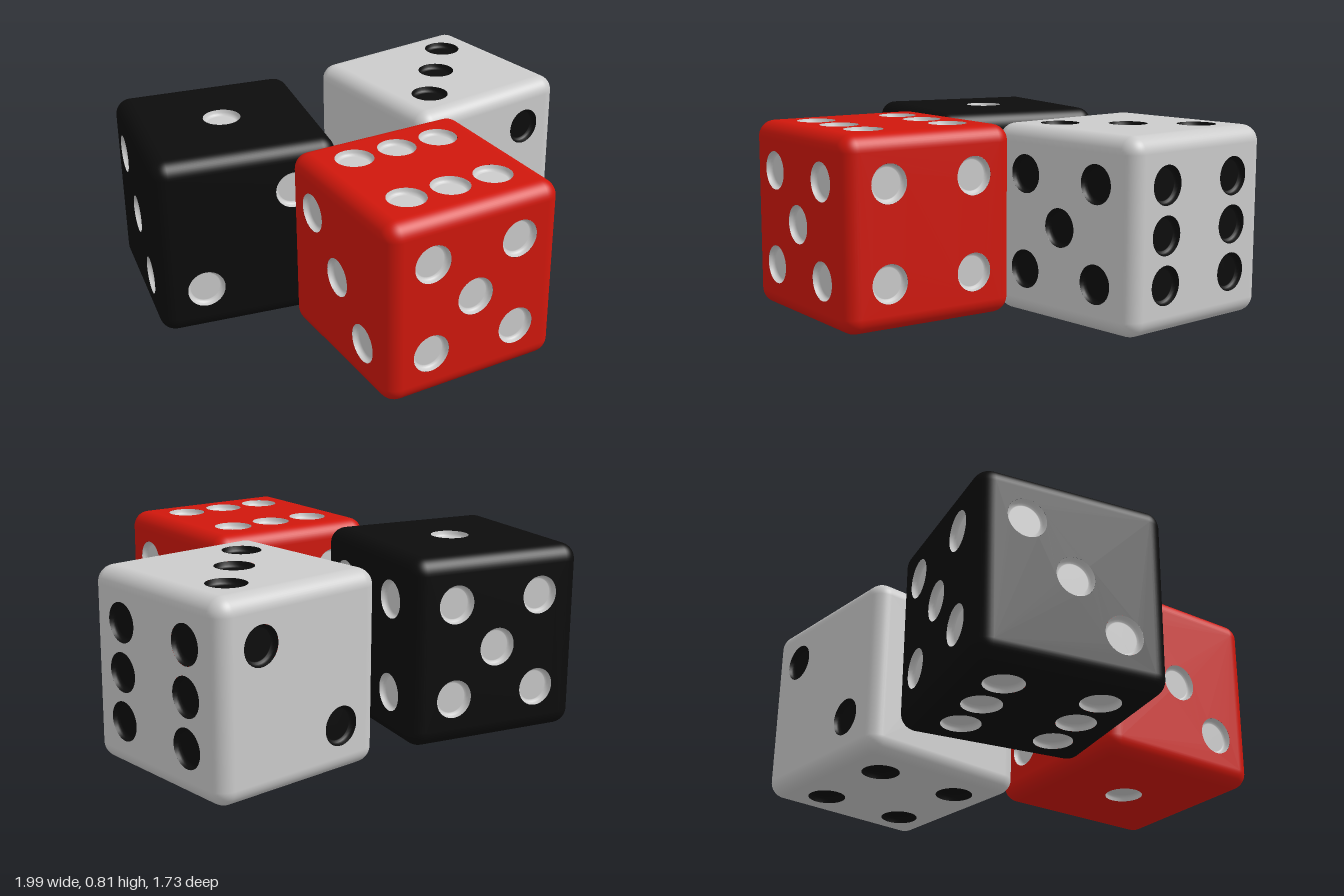
import * as THREE from 'three';
import { mergeGeometries } from 'three/addons/utils/BufferGeometryUtils.js';
import { RoundedBoxGeometry } from 'three/addons/geometries/RoundedBoxGeometry.js';

const SIZE = 0.805, HALF = SIZE / 2, EDGE = 0.07;
const PIP_R = 0.082, PIP_DEPTH = 0.025, STEP = 0.2025;

// Pip layouts in units of STEP, and the rotation that carries the +z face to each side
const diagonal = [[-1, 1], [1, -1]];
const corners = [[-1, -1], [1, 1], ...diagonal];
const SIDES = [
  { rot: [0, 0, 0], pips: [...corners, [0, 0]] },
  { rot: [0, Math.PI, 0], pips: diagonal },
  { rot: [0, Math.PI / 2, 0], pips: [...corners, [-1, 0], [1, 0]] },
  { rot: [0, -Math.PI / 2, 0], pips: [[0, 0]] },
  { rot: [-Math.PI / 2, 0, 0], pips: [[-1, -1], [0, 0], [1, 1]] },
  { rot: [Math.PI / 2, 0, 0], pips: corners },
];

// Rounded edges and corners only: the flat middle of each side is left out
function roundedFrame() {
  const box = new RoundedBoxGeometry(SIZE, SIZE, SIZE, 6, EDGE);
  const src = box.index ? box.toNonIndexed() : box;
  const p = src.attributes.position, n = src.attributes.normal;
  const pos = [], nor = [];
  for (let i = 0; i < p.count; i += 3) {
    const flat = [0, 1, 2].some((axis) =>
      [0, 1, 2].every((k) => Math.abs(p.getComponent(i + k, axis)) > HALF - 1e-5));
    if (flat) continue;
    for (let k = i; k < i + 3; k++) {
      pos.push(p.getX(k), p.getY(k), p.getZ(k));
      nor.push(n.getX(k), n.getY(k), n.getZ(k));
    }
  }
  const g = new THREE.BufferGeometry();
  g.setAttribute('position', new THREE.Float32BufferAttribute(pos, 3));
  g.setAttribute('normal', new THREE.Float32BufferAttribute(nor, 3));
  return g;
}

// Flat side with a round hole for every pip
function facePlate(pips) {
  const w = HALF - EDGE;
  const shape = new THREE.Shape([[-w, -w], [w, -w], [w, w], [-w, w]].map(([x, y]) => new THREE.Vector2(x, y)));
  for (const [x, y] of pips) {
    shape.holes.push(new THREE.Path().absarc(x * STEP, y * STEP, PIP_R, 0, Math.PI * 2, true));
  }
  const g = new THREE.ShapeGeometry(shape, 32).toNonIndexed();
  g.deleteAttribute('uv');
  return g.translate(0, 0, HALF);
}

// Shallow cup with a flat floor and a rounded foot
function pipCup(x, y) {
  const profile = [
    [PIP_R, 0], [PIP_R - 0.003, -0.012], [PIP_R - 0.007, -0.02],
    [PIP_R - 0.014, -PIP_DEPTH], [PIP_R - 0.018, -PIP_DEPTH], [0, -PIP_DEPTH],
  ].map(([r, h]) => new THREE.Vector2(r, h));
  return new THREE.LatheGeometry(profile, 32)
    .rotateX(Math.PI / 2).translate(x * STEP, y * STEP, HALF);
}

export function createModel() {
  const model = new THREE.Group();
  model.name = 'dice';

  const bodyParts = [roundedFrame()], pipParts = [];
  for (const { rot, pips } of SIDES) {
    const turn = new THREE.Matrix4().makeRotationFromEuler(new THREE.Euler(...rot));
    bodyParts.push(facePlate(pips).applyMatrix4(turn));
    for (const [x, y] of pips) pipParts.push(pipCup(x, y).applyMatrix4(turn));
  }
  const bodyGeometry = mergeGeometries(bodyParts);
  const pipGeometry = mergeGeometries(pipParts);

  const material = (color) => new THREE.MeshStandardMaterial({ color });
  const grey = material(0xcccccc), black = material(0x0c0c0c), red = material(0xd0170c);

  // The same die three times, rolled onto different sides
  const addDie = (name, body, pips, position, yaw, roll) => {
    const die = new THREE.Group();
    die.name = name;
    die.position.set(...position);
    die.rotation.y = THREE.MathUtils.degToRad(yaw);
    const parts = [['body', bodyGeometry, body], ['pips', pipGeometry, pips]];
    for (const [part, geometry, mat] of parts) {
      const mesh = new THREE.Mesh(geometry, mat);
      mesh.name = part;
      mesh.rotation.set(...roll);
      die.add(mesh);
    }
    model.add(die);
  };
  addDie('redDie', red, grey, [-0.05, 0.412, 0.46], 0, [0, 0, Math.PI / 2]);
  addDie('greyDie', grey, black, [0.56, 0.408, -0.39], 6.5, [0, 0, 0]);
  addDie('blackDie', black, grey, [-0.54, 0.405, -0.41], -10, [Math.PI, 0, Math.PI / 2]);
  return model;
}
